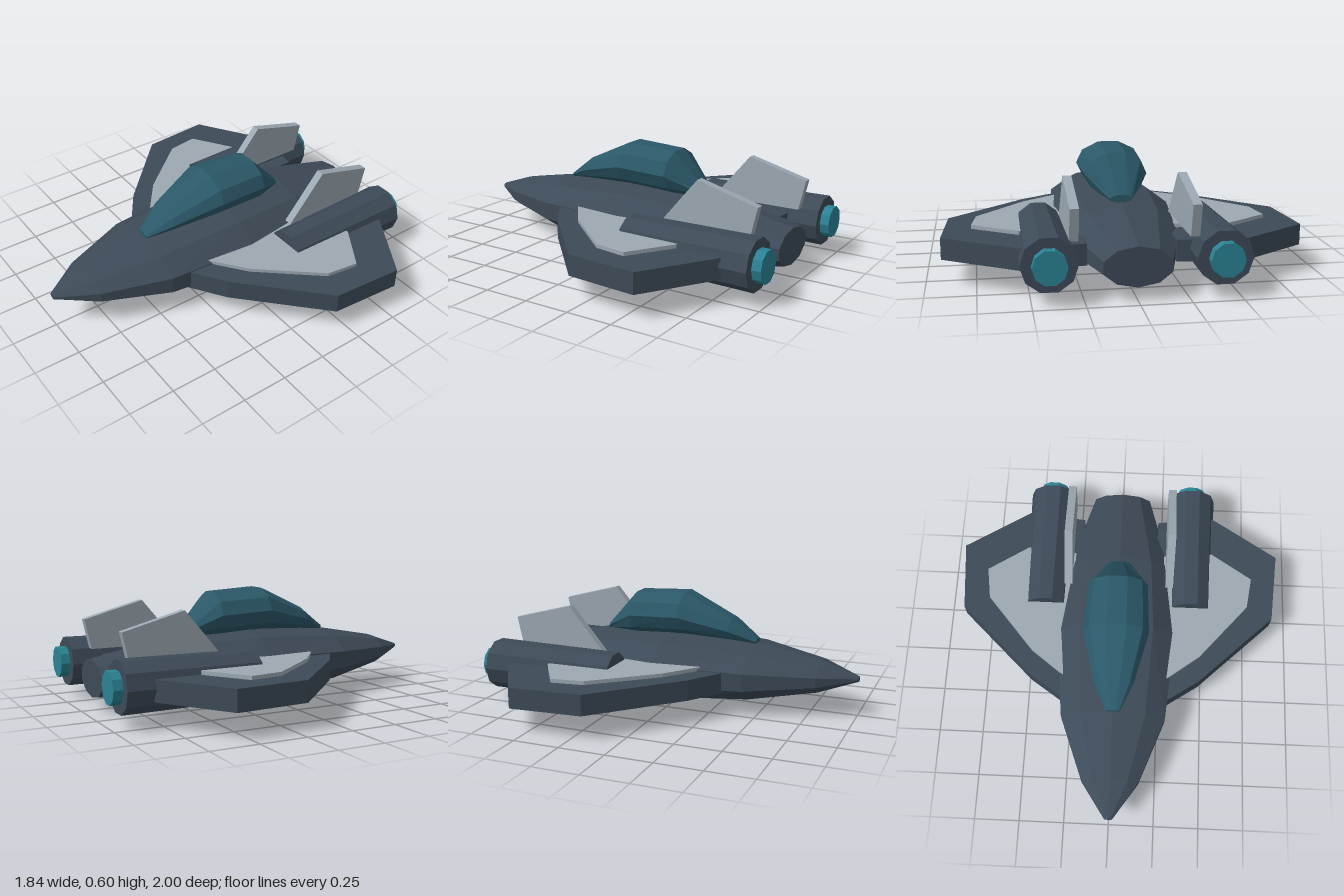
import * as THREE from 'three';

const SIDES = 10;
const mat = (color) => new THREE.MeshStandardMaterial({ color, flatShading: true, side: THREE.DoubleSide });

// Loft closed ten-sided sections, front to back; each is [z, centreY, radiusX, radiusY]
function loft(sections, phase) {
  const pos = [];
  const point = ([z, cy, rx, ry], j) => {
    const a = phase + (j * Math.PI * 2) / SIDES;
    return [rx * Math.sin(a), cy + ry * Math.cos(a), z];
  };
  const tri = (...pts) => pts.forEach((p) => pos.push(...p));
  const first = sections[0], last = sections[sections.length - 1];
  for (let j = 0; j < SIDES; j++) {
    for (let i = 0; i < sections.length - 1; i++) {
      const a = point(sections[i], j), b = point(sections[i], j + 1);
      const c = point(sections[i + 1], j), d = point(sections[i + 1], j + 1);
      tri(a, b, c);
      tri(b, d, c);
    }
    tri([0, first[1], first[0]], point(first, j + 1), point(first, j));
    tri([0, last[1], last[0]], point(last, j), point(last, j + 1));
  }
  const geo = new THREE.BufferGeometry();
  geo.setAttribute('position', new THREE.Float32BufferAttribute(pos, 3));
  geo.computeVertexNormals();
  return geo;
}

function extrude(points, depth) {
  const shape = new THREE.Shape(points.map(([x, y]) => new THREE.Vector2(x, y)));
  return new THREE.ExtrudeGeometry(shape, { depth, bevelEnabled: false });
}

// Flat slab from [x, z] outline points, mirrored by side
function slab(points, side, y0, y1) {
  return extrude(points.map(([x, z]) => [x * side, -z]), y1 - y0).rotateX(-Math.PI / 2).translate(0, y0, 0);
}

export function createModel() {
  const group = new THREE.Group();
  const hull = mat(0x3d4a57), glass = mat(0x2b5868), light = mat(0x9ca8b2), glow = mat(0x2a8294);
  const add = (name, geometry, material) => {
    const mesh = new THREE.Mesh(geometry, material);
    mesh.name = name;
    group.add(mesh);
    return mesh;
  };

  add('fuselage', loft([
    [1.0, 0.205, 0.022, 0.014],
    [0.8, 0.203, 0.163, 0.084],
    [0.44, 0.201, 0.305, 0.152],
    [-0.06, 0.195, 0.35, 0.192],
    [-0.48, 0.19, 0.31, 0.17],
    [-0.94, 0.17, 0.173, 0.1],
  ], 0), hull);

  // Canopy sections have a flat facet on top
  add('canopy', loft([
    [0.44, 0.36, 0.04, 0.016],
    [0.3, 0.42, 0.107, 0.063],
    [0.03, 0.49, 0.18, 0.121],
    [-0.26, 0.475, 0.165, 0.121],
    [-0.435, 0.38, 0.06, 0.021],
  ], Math.PI / SIDES), glass);

  const wing = [[0.2, 0.4], [0.475, 0.215], [0.89, -0.18], [0.92, -0.57], [0.54, -0.81], [0.22, -0.77]];
  const panel = [[0.25, 0.245], [0.475, 0.075], [0.745, -0.24], [0.77, -0.415], [0.54, -0.565], [0.26, -0.54]];
  const fin = [[-0.335, 0.28], [-0.55, 0.535], [-0.885, 0.445], [-0.848, 0.28]];

  for (const [side, label] of [[1, 'left'], [-1, 'right']]) {
    add(label + 'Wing', slab(wing, side, 0.135, 0.245), hull);
    add(label + 'WingPanel', slab(panel, side, 0.24, 0.265), light);

    // Upright fin between fuselage and engine
    const finGeo = extrude(fin, 0.045).rotateY(-Math.PI / 2).translate(0.0225 + side * 0.2925, 0, 0);
    add(label + 'Fin', finGeo, light);

    // Engine widens slightly to the rear, with a nozzle set into its end
    const engine = loft([[-0.22, 0.2, 0.124, 0.13], [-0.95, 0.2, 0.138, 0.137]], Math.PI / SIDES);
    add(label + 'Engine', engine, hull).position.x = side * 0.417;
    const nozzle = loft([[-0.9, 0.2, 0.084, 0.086], [-1.0, 0.2, 0.084, 0.086]], Math.PI / SIDES);
    add(label + 'Nozzle', nozzle, glow).position.x = side * 0.417;
  }

  return group;
}
